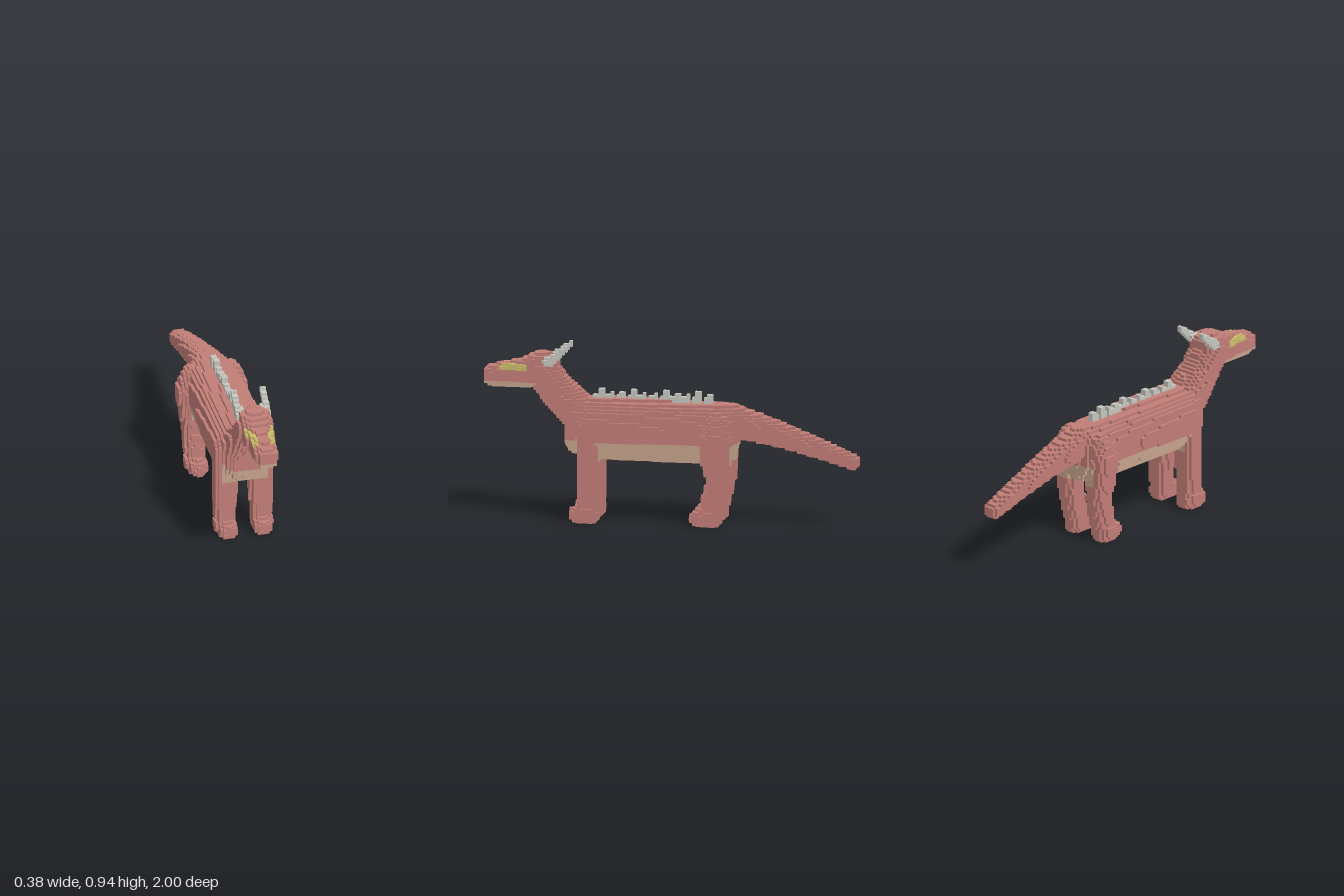
import * as THREE from 'three';

// Voxel grid: cells of 1/64 unit
const H = 1 / 64, NX = 28, NY = 64, NZ = 128;
const hide = new THREE.MeshStandardMaterial({ color: 0xc27d77 });
hide.name = 'redHide';
const underside = new THREE.MeshStandardMaterial({ color: 0xc6a38c });
underside.name = 'tanUnderside';
const bone = new THREE.MeshStandardMaterial({ color: 0xc6c6be });
bone.name = 'paleBone';
const yellow = new THREE.MeshStandardMaterial({ color: 0xc8ba68 });
yellow.name = 'yellowEye';

const index = (i, j, k) => (i * NY + j) * NZ + k;
const inside = (i, j, k) => i >= 0 && j >= 0 && k >= 0 && i < NX && j < NY && k < NZ;
const centre = (i, j, k) => [(i + 0.5 - NX / 2) * H, (j + 0.5) * H, (k + 0.5 - NZ / 2) * H];

// Marks the cells of one rounded solid; cells already taken stay as they are
function stamp(cells, name, [x, y, z, rx, ry, rz], p) {
  const range = (c, r, off, n) => [Math.max(0, Math.floor((c - r) / H + off)), Math.min(n - 1, Math.ceil((c + r) / H + off))];
  const [i0, i1] = range(x, rx, NX / 2, NX);
  const [j0, j1] = range(y, ry, 0, NY);
  const [k0, k1] = range(z, rz, NZ / 2, NZ);
  for (let i = i0; i <= i1; i++) for (let j = j0; j <= j1; j++) for (let k = k0; k <= k1; k++) {
    const [cx, cy, cz] = centre(i, j, k);
    const d = Math.abs((cx - x) / rx) ** p + Math.abs((cy - y) / ry) ** p + Math.abs((cz - z) / rz) ** p;
    if (d <= 1 && !cells[index(i, j, k)]) cells[index(i, j, k)] = name;
  }
}

// Sweeps a solid along points of [x, y, z, rx, ry, rz]
function sweep(cells, name, points, p = 2.4) {
  const steps = 24;
  for (let s = 0; s < points.length - 1; s++) for (let t = 0; t <= steps; t++) {
    stamp(cells, name, points[s].map((a, n) => a + (points[s + 1][n] - a) * t / steps), p);
  }
}

function mirrored(cells, name, points, p) {
  for (const [side, sx] of [['Left', 1], ['Right', -1]]) {
    sweep(cells, name + side, points.map(([x, ...rest]) => [x * sx, ...rest]), p);
  }
}

// Splits coloured regions off the parts they lie on
function region(name, x, y, z) {
  const ax = Math.abs(x);
  if (name === 'head') {
    if (y < 0.735 && z > 0.7) return 'jaw';
    if (y > 0.797 && y < 0.83 && ax > 0.032 && z > 0.77 && z < 0.92) return 'eyes';
  }
  if (name === 'torso' && y < 0.44) return 'belly';
  if (/Leg/.test(name) && ax < 0.125 && y > 0.327 && y < 0.452) return name + 'Inner';
  return name;
}

function materialOf(name) {
  if (name === 'jaw' || name === 'belly' || name.endsWith('Inner')) return underside;
  if (name === 'eyes') return yellow;
  if (name.startsWith('horn') || name === 'backSpines') return bone;
  return hide;
}

const DIRS = [[1, 0, 0], [-1, 0, 0], [0, 1, 0], [0, -1, 0], [0, 0, 1], [0, 0, -1]];

export function createModel() {
  const cells = new Array(NX * NY * NZ);

  // Horns and eyes sit on the head, so the horns claim their cells first
  mirrored(cells, 'horn', [
    [0.07, 0.85, 0.65, 0.026, 0.026, 0.03],
    [0.078, 0.885, 0.605, 0.017, 0.018, 0.02],
    [0.078, 0.925, 0.552, 0.016, 0.011, 0.016],
  ], 2);
  sweep(cells, 'head', [
    [0, 0.81, 0.69, 0.086, 0.076, 0.085],
    [0, 0.775, 0.78, 0.074, 0.073, 0.06],
    [0, 0.762, 0.9, 0.06, 0.062, 0.06],
    [0, 0.757, 0.96, 0.055, 0.05, 0.045],
  ], 3);
  sweep(cells, 'neck', [
    [0, 0.565, 0.49, 0.12, 0.095, 0.085],
    [0, 0.68, 0.61, 0.095, 0.085, 0.085],
    [0, 0.785, 0.69, 0.094, 0.08, 0.08],
  ]);

  // Legs: thigh or shoulder, shank, then a foot pointing forward
  mirrored(cells, 'frontLeg', [
    [0.105, 0.5, 0.43, 0.05, 0.07, 0.065],
    [0.098, 0.36, 0.43, 0.062, 0.06, 0.062],
    [0.096, 0.12, 0.43, 0.056, 0.06, 0.06],
  ]);
  mirrored(cells, 'frontLeg', [
    [0.098, 0.05, 0.44, 0.056, 0.055, 0.07],
    [0.094, 0.042, 0.475, 0.05, 0.045, 0.06],
  ]);
  mirrored(cells, 'hindLeg', [
    [0.11, 0.53, -0.26, 0.045, 0.075, 0.065],
    [0.122, 0.46, -0.255, 0.066, 0.08, 0.082],
    [0.112, 0.36, -0.255, 0.062, 0.08, 0.08],
    [0.1, 0.25, -0.265, 0.056, 0.06, 0.06],
    [0.096, 0.12, -0.235, 0.055, 0.06, 0.064],
  ]);
  mirrored(cells, 'hindLeg', [
    [0.098, 0.05, -0.215, 0.056, 0.055, 0.068],
    [0.094, 0.042, -0.172, 0.05, 0.045, 0.06],
  ]);

  sweep(cells, 'torso', [
    [0, 0.5, 0.51, 0.108, 0.14, 0.06],
    [0, 0.495, 0.42, 0.156, 0.16, 0.06],
    [0, 0.49, 0.05, 0.15, 0.16, 0.06],
    [0, 0.485, -0.2, 0.138, 0.158, 0.06],
    [0, 0.49, -0.3, 0.115, 0.15, 0.055],
  ], 2.5);
  sweep(cells, 'tail', [
    [0, 0.555, -0.32, 0.085, 0.085, 0.06],
    [0, 0.485, -0.58, 0.062, 0.062, 0.06],
    [0, 0.405, -0.82, 0.052, 0.044, 0.05],
    [0, 0.352, -0.965, 0.046, 0.036, 0.036],
  ]);

  // Row of small spines along the back, each with a low base and a point
  for (let n = 0; n < 11; n++) {
    const z = 0.39 - n * 0.058;
    const top = n % 3 === 0 ? 0.7 : 0.685;
    stamp(cells, 'backSpines', [0, 0.652, z, 0.014, 0.022, 0.025], 8);
    stamp(cells, 'backSpines', [0, top - 0.02, z - 0.012, 0.014, 0.022, 0.012], 8);
  }

  // Collects the outer cell faces of each region
  const faces = {};
  for (let i = 0; i < NX; i++) for (let j = 0; j < NY; j++) for (let k = 0; k < NZ; k++) {
    const name = cells[index(i, j, k)];
    if (!name) continue;
    const c = centre(i, j, k);
    const out = (faces[region(name, ...c)] ??= { position: [], normal: [] });
    for (const d of DIRS) {
      const [a, b, e] = [i + d[0], j + d[1], k + d[2]];
      if (inside(a, b, e) && cells[index(a, b, e)]) continue;
      const axis = d.findIndex((v) => v !== 0), sign = d[axis];
      const u = (axis + 1) % 3, v = (axis + 2) % 3;
      for (const [s, t] of [[-1, -1], [1, -1], [1, 1], [-1, -1], [1, 1], [-1, 1]]) {
        const q = [...c];
        q[axis] += sign * H / 2;
        q[u] += s * sign * H / 2;
        q[v] += t * H / 2;
        out.position.push(...q);
        out.normal.push(...d);
      }
    }
  }

  const model = new THREE.Group();
  model.name = 'hornedCreature';
  for (const [name, { position, normal }] of Object.entries(faces)) {
    if (!position.length) continue;
    const geometry = new THREE.BufferGeometry();
    geometry.setAttribute('position', new THREE.Float32BufferAttribute(position, 3));
    geometry.setAttribute('normal', new THREE.Float32BufferAttribute(normal, 3));
    const mesh = new THREE.Mesh(geometry, materialOf(name));
    mesh.name = name;
    model.add(mesh);
  }
  return model;
}
